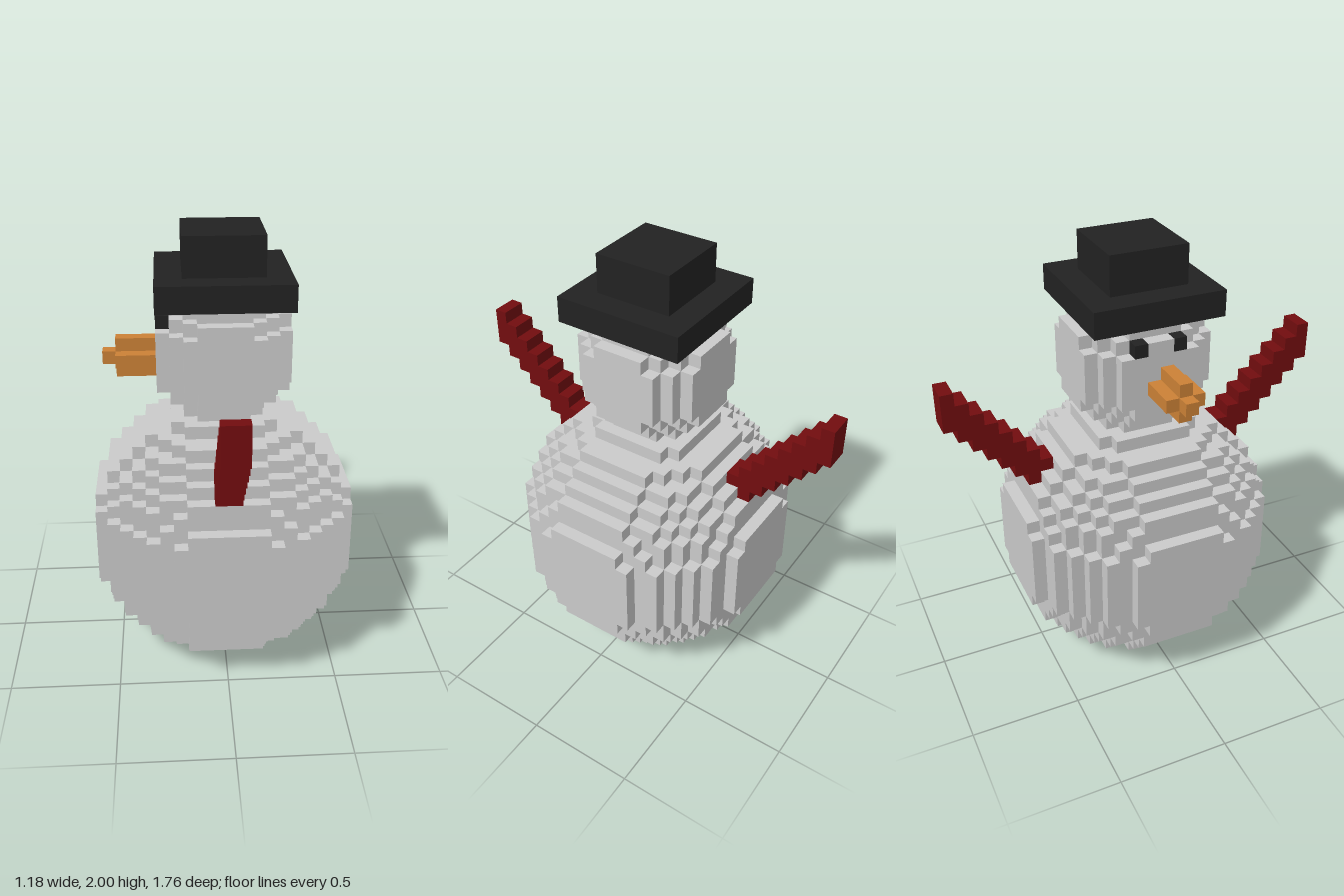
import * as THREE from 'three';
import { mergeGeometries } from 'three/addons/utils/BufferGeometryUtils.js';

const U = 2 / 34; // edge of one cube

const material = (name, color) => {
  const m = new THREE.MeshStandardMaterial({ color });
  m.name = name;
  return m;
};

// One outward-facing square for each side of a unit cube
const SIDES = [
  [1, 0, 0], [-1, 0, 0], [0, 1, 0], [0, -1, 0], [0, 0, 1], [0, 0, -1],
].map((dir) => {
  const face = new THREE.PlaneGeometry(U, U).translate(0, 0, U / 2);
  if (dir[0]) face.rotateY(dir[0] * Math.PI / 2);
  if (dir[1]) face.rotateX(-dir[1] * Math.PI / 2);
  if (dir[2] < 0) face.rotateY(Math.PI);
  return { dir, face };
});

// Mesh of a list of [x, y, z] cubes, keeping only the exposed faces
function cubes(name, cells, mat) {
  const filled = new Set(cells.map((c) => c.join()));
  const faces = [];
  for (const [x, y, z] of cells) {
    for (const { dir, face } of SIDES) {
      if (filled.has([x + dir[0], y + dir[1], z + dir[2]].join())) continue;
      faces.push(face.clone().translate((x + 0.5) * U, (y + 0.5) * U, (z + 0.5) * U));
    }
  }
  const mesh = new THREE.Mesh(mergeGeometries(faces), mat);
  mesh.name = name;
  return mesh;
}

// Cubes of a ball: r is half its width, cy its centre height
function ball(r, cy) {
  const cells = [];
  const limit = (r + 0.5) ** 2;
  for (let x = -r; x < r; x++)
    for (let y = -r; y < r; y++)
      for (let z = -r; z < r; z++)
        if ((x + 0.5) ** 2 + (y + 0.5) ** 2 + (z + 0.5) ** 2 <= limit) cells.push([x, y + cy, z]);
  return cells;
}

// Plain block, w wide and deep, from row y0 to row y1
function block(name, w, y0, y1, mat) {
  const geo = new THREE.BoxGeometry(w * U, (y1 - y0) * U, w * U);
  geo.translate(0, (y0 + y1) / 2 * U, 0);
  const mesh = new THREE.Mesh(geo, mat);
  mesh.name = name;
  return mesh;
}

export function createModel() {
  const snow = material('snow', 0xcacaca);
  const black = material('black', 0x222222);
  const orange = material('carrot orange', 0xcb8136);
  const red = material('dark red', 0x720d0f);
  const model = new THREE.Group();
  model.name = 'snowman';

  // Snow balls; the eyes take the place of two head cubes
  const eyes = [[-5, 27, -2], [-5, 27, 1]];
  const isEye = (c) => eyes.some((e) => e.join() === c.join());
  model.add(cubes('body', ball(10, 10), snow));
  model.add(cubes('head', ball(5, 25).filter((c) => c[1] < 29 && !isEye(c)), snow));
  eyes.forEach((e, i) => model.add(cubes(i ? 'eyeFront' : 'eyeBack', [e], black)));

  // Hat
  model.add(block('hatBrim', 10, 29, 31, black));
  model.add(block('hatCrown', 6, 31, 34, black));

  // Nose: a plus-shaped bar with a one-cube tip
  const nose = [[-9, 24, 0]];
  for (let x = -8; x < -5; x++)
    nose.push([x, 24, 0], [x, 23, 0], [x, 25, 0], [x, 24, -1], [x, 24, 1]);
  model.add(cubes('nose', nose, orange));

  // Arms: stepped bars rising outward along z
  for (const side of [1, -1]) {
    const arm = [];
    for (let c = 7; c < 15; c++)
      for (let row = 0; row < 3; row++)
        for (const x of [-1, 0]) arm.push([x, c + 8 + row, side > 0 ? c : -c - 1]);
    model.add(cubes(side > 0 ? 'armFront' : 'armBack', arm, red));
  }
  return model;
}
